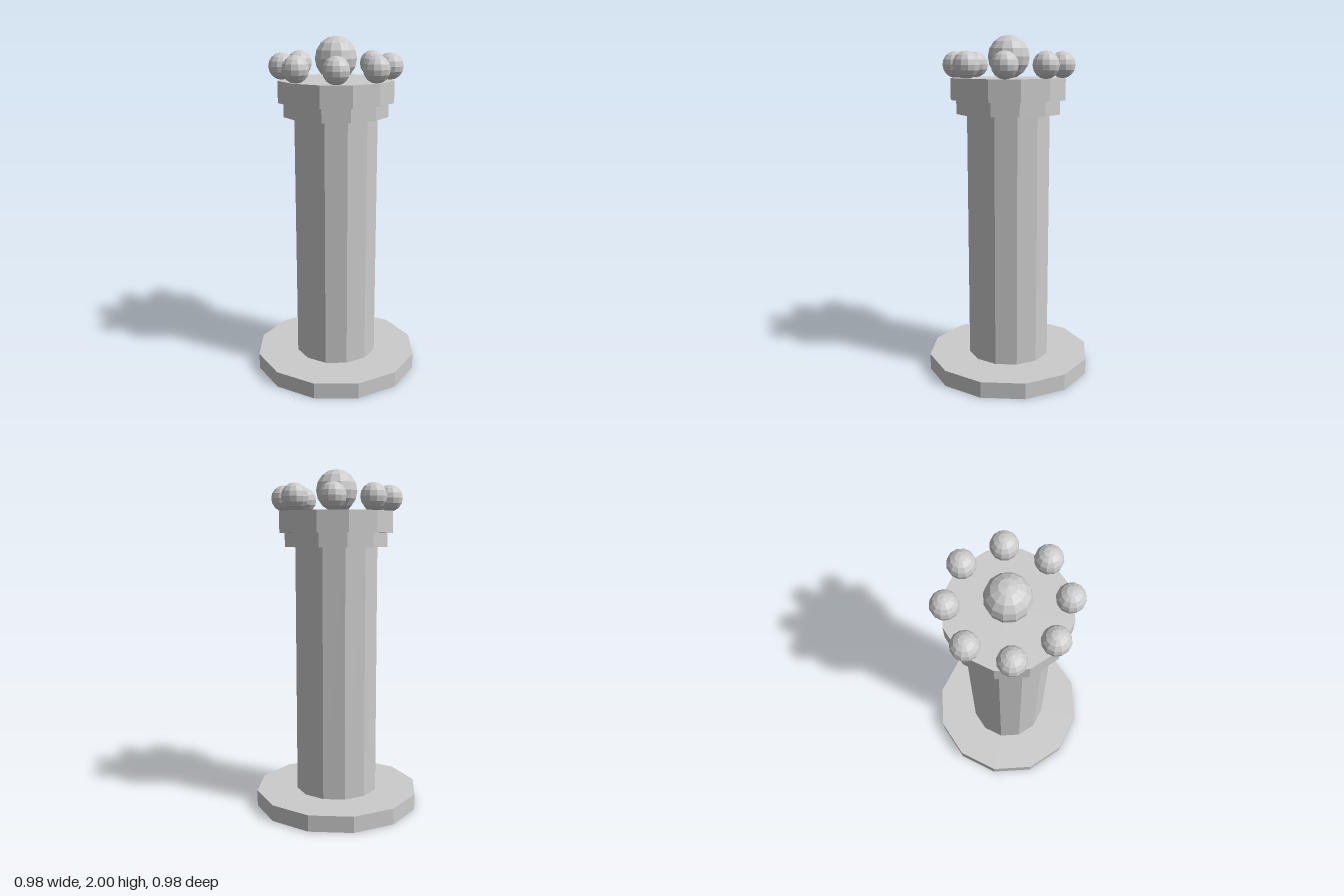
import * as THREE from 'three';

const SIDES = 12;

export function createModel() {
  const model = new THREE.Group();
  model.name = 'crownedColumn';

  const stone = new THREE.MeshStandardMaterial({ color: 0xcccccc, flatShading: true });
  stone.name = 'grey stone';

  const add = (name, geometry, x, y, z) => {
    const mesh = new THREE.Mesh(geometry, stone);
    mesh.name = name;
    mesh.position.set(x, y, z);
    model.add(mesh);
  };

  // Stacked twelve-sided drums, from bottom to top
  const drum = (name, radius, bottom, top) =>
    add(name, new THREE.CylinderGeometry(radius, radius, top - bottom, SIDES), 0, (bottom + top) / 2, 0);
  drum('base', 0.49, 0, 0.095);
  drum('shaft', 0.245, 0.095, 1.557);
  drum('collar', 0.306, 1.557, 1.637);
  drum('capital', 0.337, 1.637, 1.76);

  // Large ball in the middle of the top
  add('centreBall', new THREE.SphereGeometry(0.122, SIDES, 8), 0, 1.878, 0);

  // Ring of eight small balls around the rim
  const ballGeometry = new THREE.SphereGeometry(0.076, SIDES, 8);
  for (let i = 0; i < 8; i++) {
    const angle = (i * Math.PI) / 4;
    add(`rimBall${i + 1}`, ballGeometry, 0.307 * Math.cos(angle), 1.834, 0.307 * Math.sin(angle));
  }

  return model;
}
